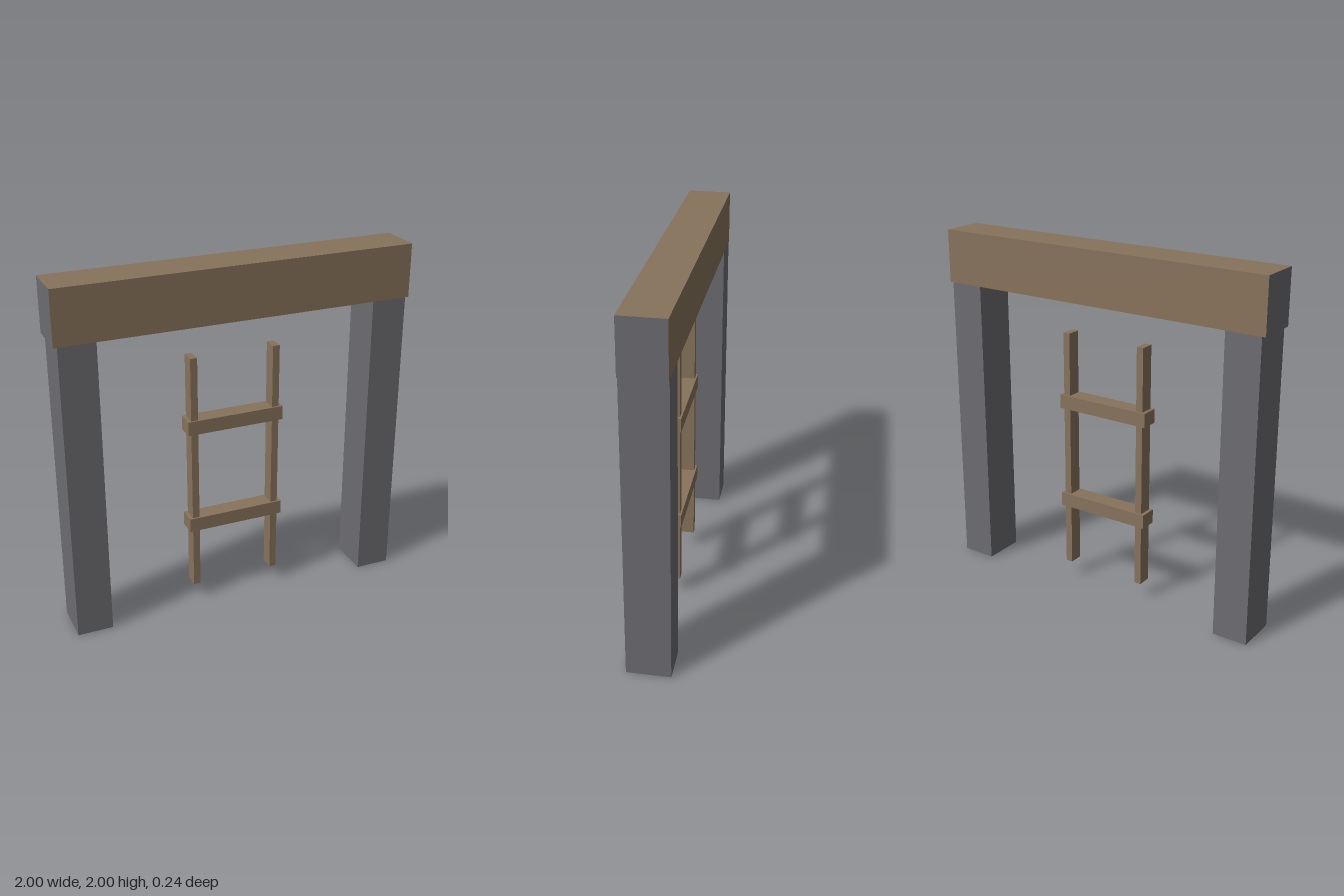
import * as THREE from 'three';

export function createModel() {
  const model = new THREE.Group();
  model.name = 'gateFrame';
  const wood = new THREE.MeshStandardMaterial({ color: 0x88735c });
  const stone = new THREE.MeshStandardMaterial({ color: 0x6d6d72 });

  const addBox = (parent, name, size, position, material) => {
    const mesh = new THREE.Mesh(new THREE.BoxGeometry(...size), material);
    mesh.name = name;
    mesh.position.set(...position);
    parent.add(mesh);
  };

  // Wooden lintel with grey ends
  addBox(model, 'lintel', [2, 0.3, 0.24], [0, 1.85, 0],
    [stone, stone, wood, wood, wood, wood]);

  const ladder = new THREE.Group();
  ladder.name = 'ladder';
  model.add(ladder);

  // Mirrored pillars and ladder rails
  for (const [side, s] of [['left', 1], ['right', -1]]) {
    addBox(model, side + 'Pillar', [0.2, 1.7, 0.24], [s * 0.88, 0.85, 0], stone);
    addBox(ladder, side + 'Rail', [0.04, 1.4, 0.08], [s * 0.24, 0.8, 0], wood);
  }

  // Rungs, slightly deeper than the rails
  for (const [name, y] of [['lowerRung', 0.5], ['upperRung', 1.1]]) {
    addBox(ladder, name, [0.56, 0.08, 0.1], [0, y, 0], wood);
  }
  return model;
}
